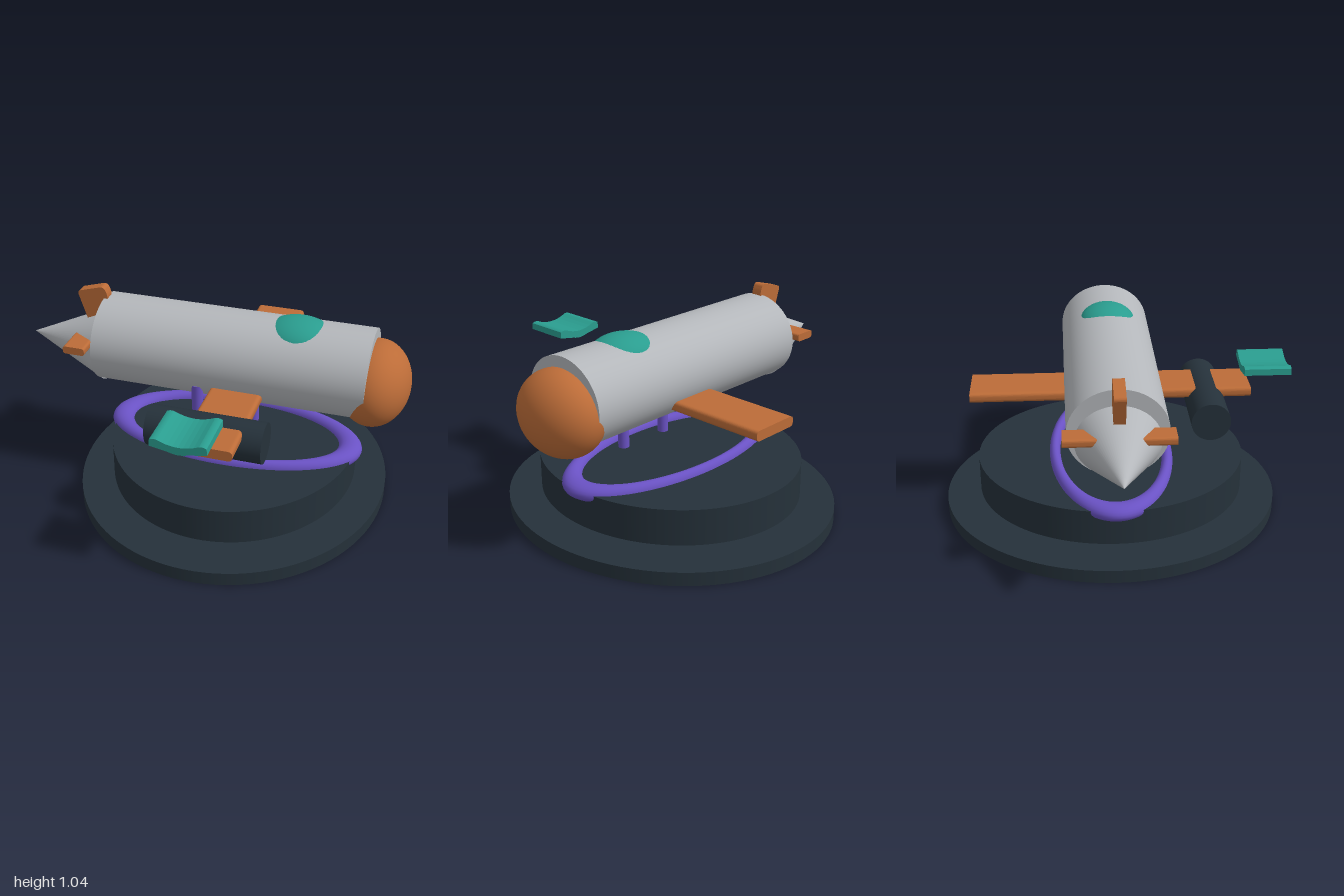
import * as THREE from 'three';

const paint = (name, color) => {
  const m = new THREE.MeshStandardMaterial({ color });
  m.name = name;
  return m;
};

export function createModel() {
  const model = new THREE.Group();
  const grey = paint('hull grey', 0xb4b7bb);
  const orange = paint('burnt orange', 0xbc6c38);
  const teal = paint('teal', 0x2a9d8f);
  const purple = paint('purple', 0x6a52c4);
  const dark = paint('dark slate', 0x25313a);
  const MID = -0.017; // z of the craft's centre line

  const add = (name, geometry, material, x, y, z) => {
    const mesh = new THREE.Mesh(geometry, material);
    mesh.name = name;
    mesh.position.set(x, y, z);
    model.add(mesh);
    return mesh;
  };
  const ellipsoid = (rx, ry, rz) => new THREE.SphereGeometry(1, 48, 32).scale(rx, ry, rz);
  // Elliptical disc standing on its position
  const disc = (rx, rz, h) => new THREE.CylinderGeometry(1, 1, h, 96).scale(rx, 1, rz).translate(0, h / 2, 0);
  // Profile in x, y extruded along z and centred on it
  const slab = (shape, depth) =>
    new THREE.ExtrudeGeometry(shape, { depth, bevelEnabled: false, curveSegments: 8 }).translate(0, 0, -depth / 2);
  const roundedRect = (w, h, r) => {
    const s = new THREE.Shape();
    const x = w / 2, y = h / 2;
    s.moveTo(-x + r, -y);
    s.lineTo(x - r, -y);
    s.quadraticCurveTo(x, -y, x, -y + r);
    s.lineTo(x, y - r);
    s.quadraticCurveTo(x, y, x - r, y);
    s.lineTo(-x + r, y);
    s.quadraticCurveTo(-x, y, -x, y - r);
    s.lineTo(-x, -y + r);
    s.quadraticCurveTo(-x, -y, -x + r, -y);
    return s;
  };

  // Stand
  add('basePlate', disc(0.805, 0.884, 0.07), dark, 0.115, 0, MID);
  add('baseDrum', disc(0.6375, 0.704, 0.185), dark, 0.1175, 0.11, MID);
  const ring = new THREE.TorusGeometry(0.91, 0.09, 20, 96).rotateX(Math.PI / 2).scale(0.677, 0.47, 0.328);
  add('standRing', ring, purple, 0.1125, 0.287, MID);
  for (const x of [-0.03, 0.26]) {
    add('supportPost', new THREE.CylinderGeometry(0.029, 0.029, 0.42, 24), purple, x, 0.45, 0.176);
    add('postFoot', ellipsoid(0.035, 0.08, 0.095), dark, x, 0.15, 0.176);
  }

  // Fuselage, nose and tail cone
  const hull = new THREE.CylinderGeometry(1, 1, 1.385, 64).rotateZ(Math.PI / 2).scale(1, 0.222, 0.241);
  add('fuselage', hull, grey, 0.1125, 0.757, MID);
  add('nose', ellipsoid(0.178, 0.212, 0.241), orange, 0.822, 0.712, MID);
  const cone = new THREE.ConeGeometry(1, 0.435, 64).rotateZ(Math.PI / 2).scale(1, 0.19, 0.212);
  add('tailCone', cone, grey, -0.7825, 0.714, MID);
  add('canopy', ellipsoid(0.185, 0.1, 0.15), teal, 0.433, 0.9, MID);

  // Wing with one engine
  add('wing', slab(roundedRect(0.262, 0.052, 0.022), 1.458), orange, 0.175, 0.646, MID);
  const engine = new THREE.CylinderGeometry(0.1, 0.1, 0.572, 48).rotateZ(Math.PI / 2);
  add('engine', engine, dark, 0.115, 0.587, 0.477);

  // Tail fins
  const fin = new THREE.Shape();
  fin.moveTo(-0.66, 0.8);
  fin.lineTo(-0.72, 0.985);
  fin.quadraticCurveTo(-0.722, 1.0, -0.708, 1.005);
  fin.lineTo(-0.597, 1.037);
  fin.quadraticCurveTo(-0.577, 1.04, -0.57, 1.02);
  fin.quadraticCurveTo(-0.56, 1.0, -0.56, 0.98);
  fin.lineTo(-0.572, 0.82);
  add('tailFin', slab(fin, 0.056), orange, 0, 0, MID);
  add('tailplane', slab(roundedRect(0.115, 0.04, 0.015), 0.52), orange, -0.6625, 0.78, MID);

  // Bent plate floating beyond the engine
  const vee = new THREE.Shape();
  vee.moveTo(-0.018, 0.77);
  vee.lineTo(0.07, 0.754);
  vee.quadraticCurveTo(0.115, 0.738, 0.16, 0.754);
  vee.lineTo(0.248, 0.77);
  vee.lineTo(0.246, 0.803);
  vee.quadraticCurveTo(0.23, 0.812, 0.212, 0.808);
  vee.quadraticCurveTo(0.115, 0.762, 0.018, 0.808);
  vee.quadraticCurveTo(0, 0.812, -0.016, 0.803);
  add('bentPlate', slab(vee, 0.24), teal, 0, 0, 0.781);

  return model;
}
